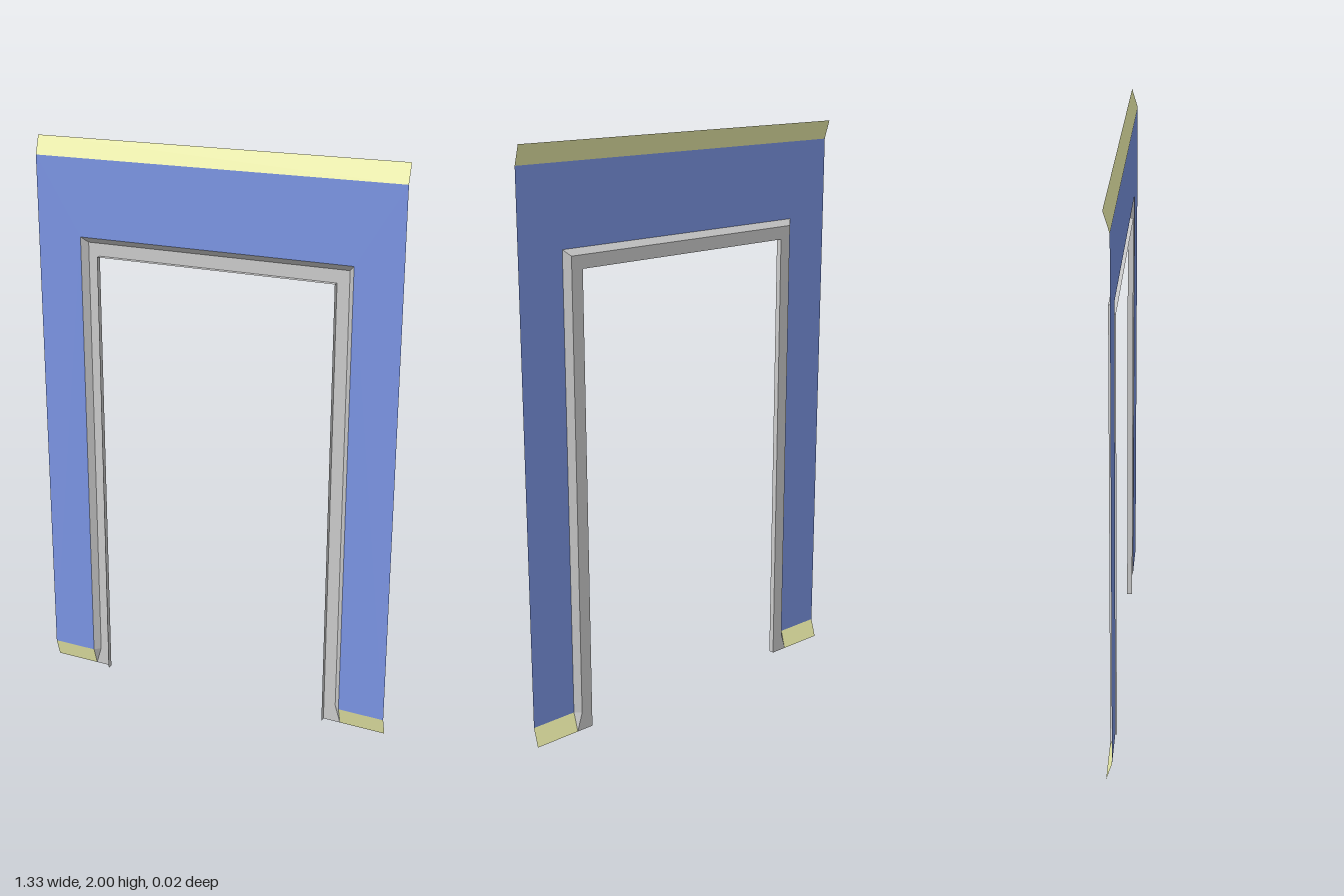
import * as THREE from 'three';

const FRONT = 0.01, BACK = -0.01;      // depth of the wall sheet and of the recessed frame
const HALF = 0.667, HEIGHT = 2, TRIM = 0.065;
const OPEN_X = 0.5, OPEN_Y = 1.665;    // opening in the wall
const FACE_X = 0.48, FACE_Y = 1.645;   // outer edge of the flat frame face
const DOOR_X = 0.437, DOOR_Y = 1.6;    // clear doorway

const material = (color) =>
  new THREE.MeshStandardMaterial({ color, side: THREE.DoubleSide });

// Mirrors the left half of a path, giving a row that runs over to the right foot.
const mirrored = (half) =>
  [...half, ...half.map(([x, y, z]) => [-x, y, z]).reverse()];

// Flat-shaded ribbon between two rows of points, with mirrored diagonals.
function ribbon(name, a, b, mat) {
  const points = [];
  for (let i = 0; i < a.length - 1; i++) {
    const [a0, a1, b0, b1] = [a[i], a[i + 1], b[i], b[i + 1]];
    if (i < (a.length - 1) / 2) points.push(a0, b0, b1, a0, b1, a1);
    else points.push(a0, b0, a1, b0, b1, a1);
  }
  const geometry = new THREE.BufferGeometry();
  geometry.setAttribute('position', new THREE.Float32BufferAttribute(points.flat(), 3));
  geometry.computeVertexNormals();
  const mesh = new THREE.Mesh(geometry, mat);
  mesh.name = name;
  return mesh;
}

export function createModel() {
  const model = new THREE.Group();
  model.name = 'doorwayWall';
  const blue = material(0x7b95e4), cream = material(0xf4f6b0), grey = material(0xcccccc);

  // Wall panel around the opening
  model.add(ribbon('wallPanel',
    mirrored([[-HALF, TRIM, FRONT], [-HALF, HEIGHT - TRIM, FRONT]]),
    mirrored([[-OPEN_X, TRIM, FRONT], [-OPEN_X, OPEN_Y, FRONT]]), blue));

  // Trim strips, leaning back at the top and at the foot
  model.add(ribbon('topTrim',
    mirrored([[-HALF, HEIGHT, BACK]]),
    mirrored([[-HALF, HEIGHT - TRIM, FRONT]]), cream));
  for (const [name, x0, x1] of [['rightBaseTrim', -HALF, -OPEN_X], ['leftBaseTrim', OPEN_X, HALF]]) {
    model.add(ribbon(name,
      [[x0, TRIM, FRONT], [x1, TRIM, FRONT]],
      [[x0, 0, BACK], [x1, 0, BACK]], cream));
  }

  // Door frame: bevel from the wall, flat face, and return along the doorway
  const frame = new THREE.Group();
  frame.name = 'doorFrame';
  const wallEdge = mirrored([[-OPEN_X, 0, BACK], [-OPEN_X, TRIM, FRONT], [-OPEN_X, OPEN_Y, FRONT]]);
  const faceEdge = mirrored([[-FACE_X, 0, BACK], [-FACE_X, TRIM, BACK], [-FACE_X, FACE_Y, BACK]]);
  const doorRow = (z) => mirrored([[-DOOR_X, 0, z], [-DOOR_X, TRIM, z], [-DOOR_X, DOOR_Y, z]]);
  frame.add(
    ribbon('frameBevel', wallEdge, faceEdge, grey),
    ribbon('frameFace', faceEdge, doorRow(BACK), grey),
    ribbon('frameReturn', doorRow(BACK), doorRow(FRONT), grey));
  model.add(frame);

  return model;
}
